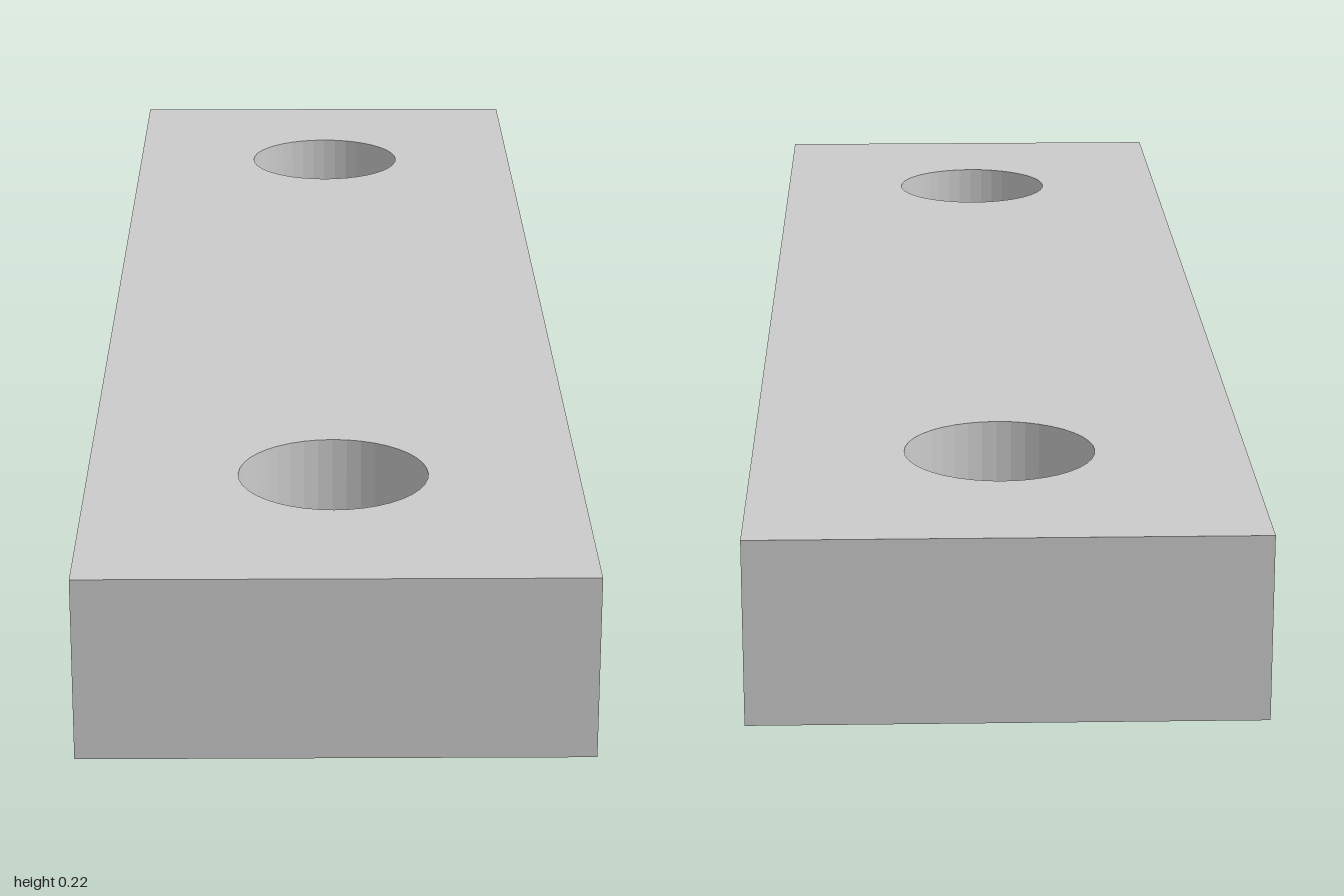
import * as THREE from 'three';

const HALF_WIDTH = 0.295, HALF_LENGTH = 1, THICKNESS = 0.22;
const HOLE_RADIUS = 0.114, HOLE_Z = [-0.69, 0.685];

export function createModel() {
  const group = new THREE.Group();
  group.name = 'drilledPlate';

  // Rectangular outline; shape y becomes -z once the plate is laid flat
  const outline = new THREE.Shape([
    new THREE.Vector2(-HALF_WIDTH, -HALF_LENGTH),
    new THREE.Vector2(HALF_WIDTH, -HALF_LENGTH),
    new THREE.Vector2(HALF_WIDTH, HALF_LENGTH),
    new THREE.Vector2(-HALF_WIDTH, HALF_LENGTH),
  ]);

  // Two round through holes
  for (const z of HOLE_Z) {
    outline.holes.push(new THREE.Path().absarc(0, -z, HOLE_RADIUS, 0, Math.PI * 2, true));
  }

  // Extrude the thickness and lay the plate on the ground
  const geometry = new THREE.ExtrudeGeometry(outline, {
    depth: THICKNESS, bevelEnabled: false, curveSegments: 20,
  });
  geometry.rotateX(-Math.PI / 2);

  const plate = new THREE.Mesh(
    geometry,
    new THREE.MeshStandardMaterial({ color: 0xcccccc, flatShading: true }),
  );
  plate.name = 'plate';
  group.add(plate);
  return group;
}
